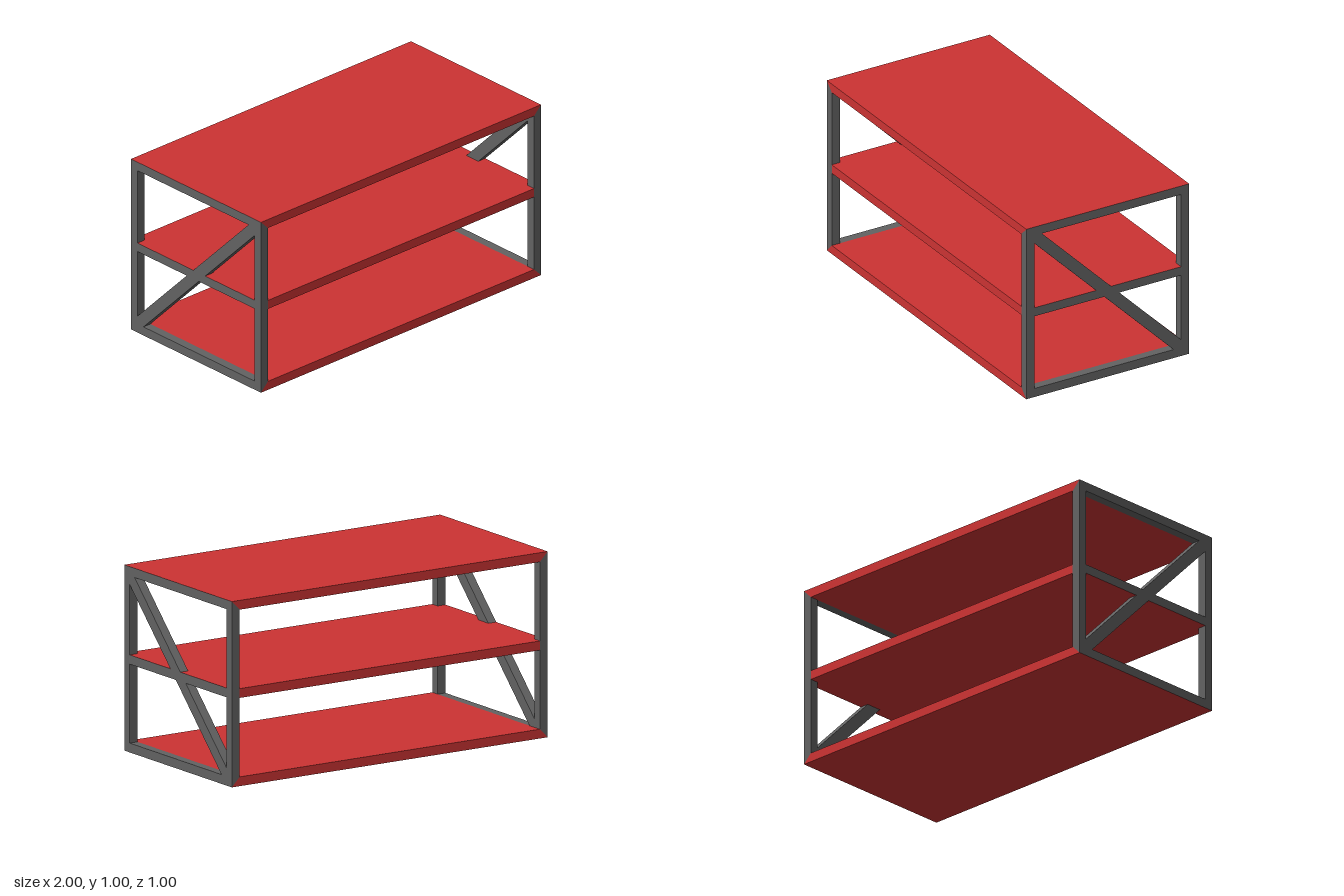
import * as THREE from 'three';

export function createModel() {
  const group = new THREE.Group();
  const red = new THREE.MeshStandardMaterial({ color: 0xcc3333 });
  red.name = 'red shelf';
  const grey = new THREE.MeshStandardMaterial({ color: 0x626262 });
  grey.name = 'grey frame';

  const T = 0.05; // board and frame thickness
  const add = (name, geometry, material) => {
    const mesh = new THREE.Mesh(geometry, material);
    mesh.name = name;
    group.add(mesh);
    return mesh;
  };
  // prism from a 2D outline, centred along its depth
  const prism = (points, depth) => {
    const shape = new THREE.Shape(points.map(([x, y]) => new THREE.Vector2(x, y)));
    return new THREE.ExtrudeGeometry(shape, { depth, bevelEnabled: false }).translate(0, 0, -depth / 2);
  };

  // top and bottom shelves, mitred at their ends
  add('bottomShelf', prism([[-1, 0], [1, 0], [1 - T, T], [T - 1, T]], 1), red);
  add('topShelf', prism([[T - 1, 1 - T], [1 - T, 1 - T], [1, 1], [-1, 1]], 1), red);

  // middle shelf, its ends running out between the posts as grey rails
  add('middleShelf', new THREE.BoxGeometry(2 - 2 * T, T, 1), red).position.y = 0.5;
  const ends = new THREE.BoxGeometry(2, T, 1 - 2 * T);
  add('middleShelfEnds', ends, [grey, grey, red, red, red, red]).position.y = 0.5;

  // diagonal brace outline (z, y), fitted inside the end frame
  const a = 0.5 - T, b = a - 0.046;
  const brace = [[b, a], [a, a], [a, b], [-b, -a], [-a, -a], [-a, -b]];

  for (const s of [1, -1]) {
    const side = s > 0 ? 'left' : 'right';
    // mitred end rails
    add(side + 'BottomRail', prism([[s, 0], [s, T], [s * (1 - T), T]], 1), grey);
    add(side + 'TopRail', prism([[s, 1], [s * (1 - T), 1 - T], [s, 1 - T]], 1), grey);
    // corner posts, mitred into the shelves
    for (const f of [1, -1]) {
      const post = prism([[s, 0], [s, 1], [s * (1 - T), 1 - T], [s * (1 - T), T]], T);
      add(side + (f > 0 ? 'Front' : 'Back') + 'Post', post, grey).position.z = f * (0.5 - T / 2);
    }
    // brace falling from top front to bottom back
    const bar = add(side + 'DiagonalBrace', prism(brace, T), grey);
    bar.rotation.y = -Math.PI / 2;
    bar.position.set(s * (1 - T / 2), 0.5, 0);
  }
  return group;
}
